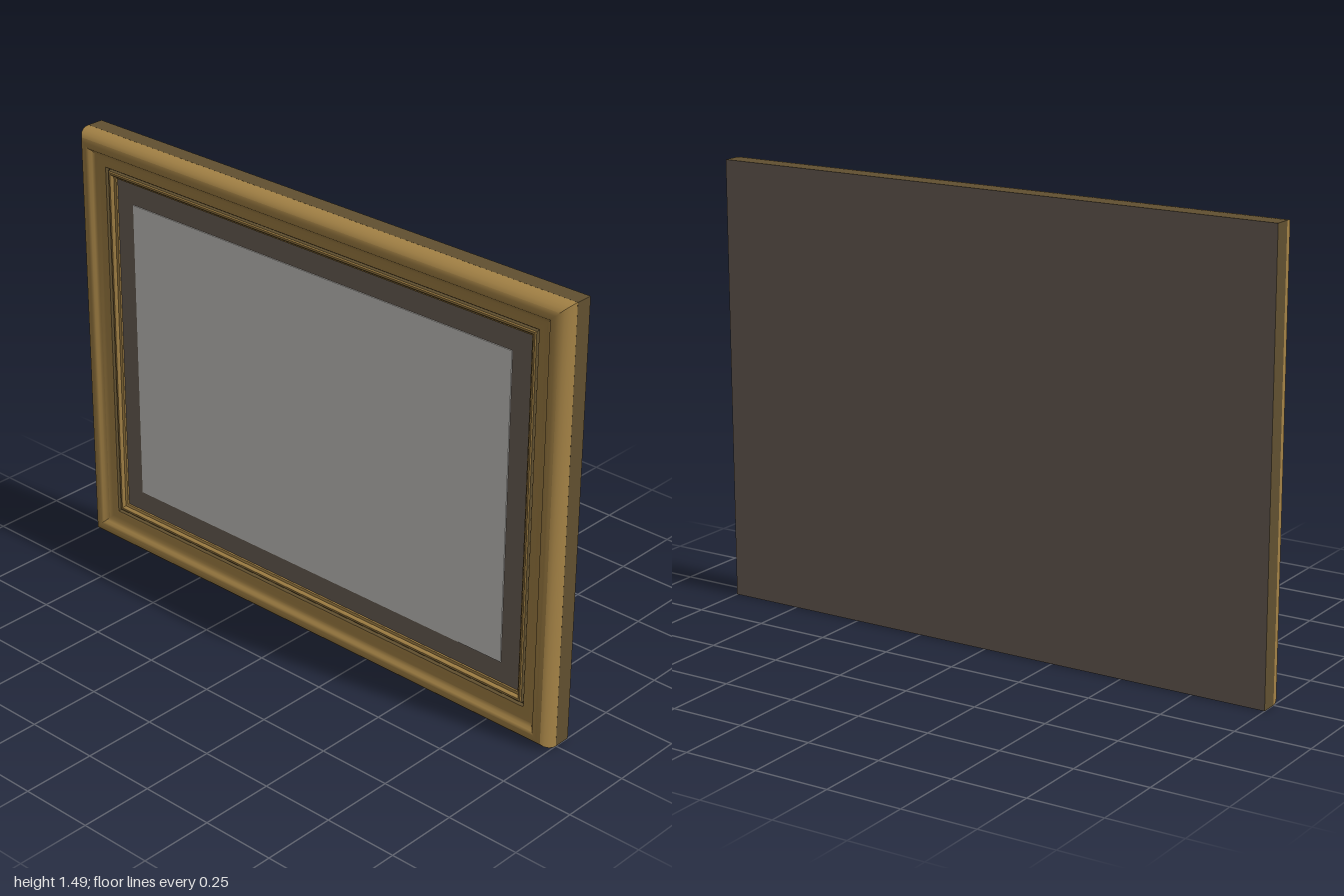
import * as THREE from 'three';
import { toCreasedNormals } from 'three/addons/utils/BufferGeometryUtils.js';

const W = 2, H = 1.486, CY = H / 2, BACK = -0.058;

const material = (name, color) => {
  const m = new THREE.MeshStandardMaterial({ color });
  m.name = name;
  return m;
};

// Sweeps a profile of [inset, z] points around the rectangle with mitred corners.
function mouldingRing(profile) {
  const corners = [[1, -1], [1, 1], [-1, 1], [-1, -1]];
  const pos = [], index = [];
  for (let side = 0; side < 4; side++) {
    const start = pos.length / 3;
    for (const [inset, z] of profile) {
      for (const [sx, sy] of [corners[side], corners[(side + 1) % 4]]) {
        pos.push(sx * (W / 2 - inset), CY + sy * (H / 2 - inset), z);
      }
    }
    for (let i = 0; i < profile.length - 1; i++) {
      const a = start + i * 2;
      index.push(a, a + 1, a + 2, a + 1, a + 3, a + 2);
    }
  }
  const geo = new THREE.BufferGeometry();
  geo.setAttribute('position', new THREE.Float32BufferAttribute(pos, 3));
  geo.setIndex(index);
  return toCreasedNormals(geo, 0.6);
}

export function createModel() {
  const group = new THREE.Group();
  group.name = 'pictureFrame';
  const gold = material('antique gold', 0xa58346);
  const darkGold = material('dark gold', 0x615030);
  const brown = material('taupe board', 0x70645a);
  const paper = material('pale paper', 0xd0cec9);

  const add = (name, geo, mat, y = 0, z = 0) => {
    const mesh = new THREE.Mesh(geo, mat);
    mesh.name = name;
    mesh.position.set(0, y, z);
    group.add(mesh);
  };

  // Rear half: dark sides with a plain backing face
  add('rearFrame', new THREE.BoxGeometry(W, H, -BACK),
    [darkGold, darkGold, darkGold, darkGold, darkGold, brown], CY, BACK / 2);

  // Rounded outer moulding falling into a cove
  add('outerMoulding', mouldingRing([
    [0, -0.003], [0.001, 0.012], [0.005, 0.028], [0.012, 0.042], [0.022, 0.052],
    [0.034, 0.057], [0.046, 0.057], [0.054, 0.052], [0.06, 0.044],
    [0.07, 0.038], [0.085, 0.034], [0.1, 0.032], [0.108, 0.03],
  ]), gold);

  // Dark groove between the moulding and the inner lip
  add('groove', mouldingRing([
    [0.108, 0.03], [0.109, 0.016], [0.117, 0.016], [0.118, 0.028],
  ]), darkGold);

  // Thin inner lip stepping down to the board
  add('innerLip', mouldingRing([
    [0.118, 0.028], [0.122, 0.031], [0.128, 0.031], [0.132, 0.027],
    [0.134, 0.02], [0.142, 0.017], [0.144, 0.008],
  ]), gold);

  // Mount board and picture sheet
  add('mountBoard', new THREE.BoxGeometry(W - 0.28, H - 0.28, 0.012), brown, CY, 0.006);
  add('pictureSheet', new THREE.BoxGeometry(1.57, 1.055, 0.004), paper, CY, 0.013);
  return group;
}
